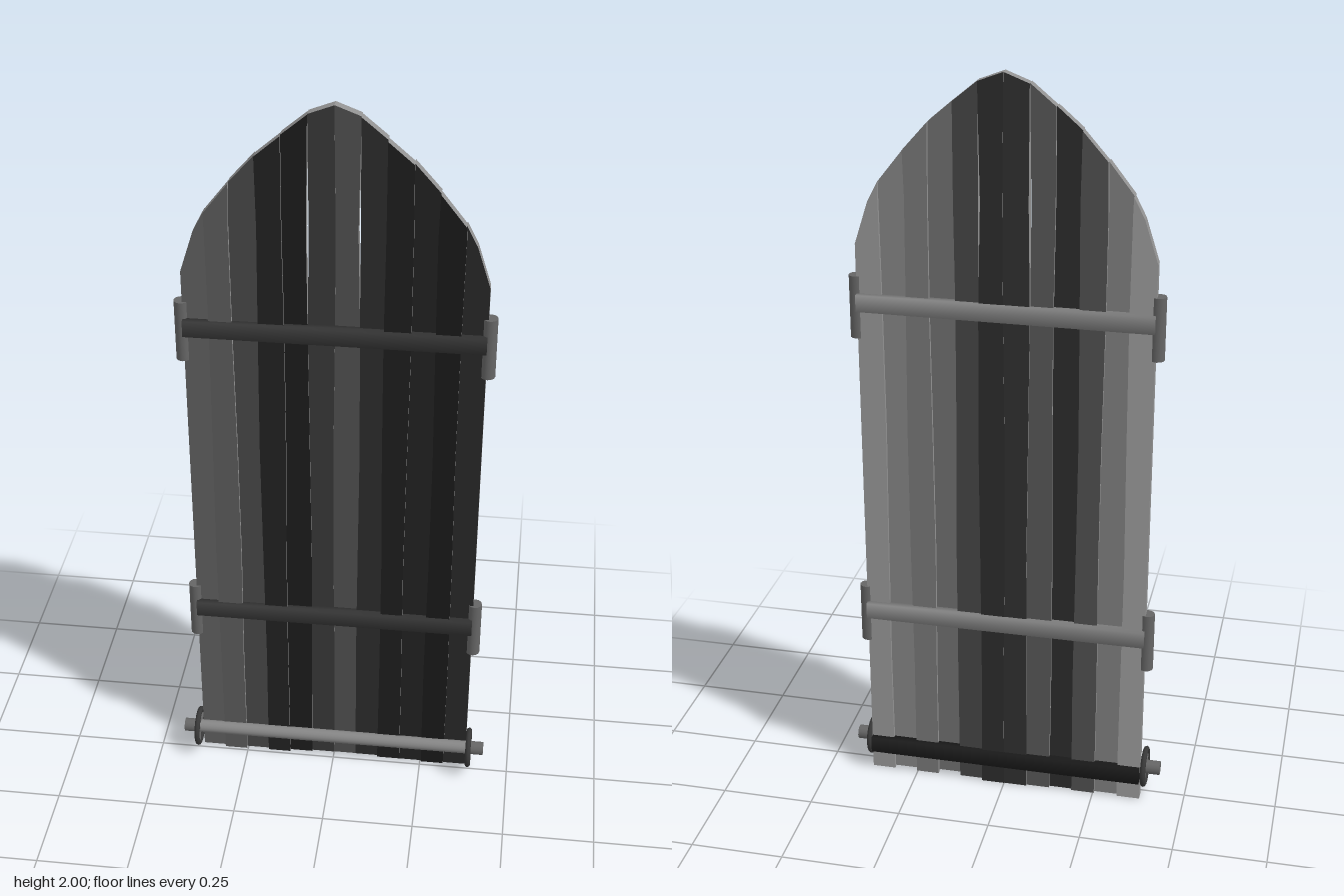
import * as THREE from 'three';
import { mergeVertices } from 'three/addons/utils/BufferGeometryUtils.js';

const shade = (v) => new THREE.MeshStandardMaterial({ color: new THREE.Color().setRGB(v / 255, v / 255, v / 255, THREE.SRGBColorSpace) });
const ironBlack = shade(0x1c), ironDark = shade(0x38), ironMid = shade(0x66), ironLight = shade(0x86), woodEdge = shade(0x92);

function add(parent, name, geometry, material, x = 0, y = 0, z = 0) {
  const mesh = new THREE.Mesh(geometry, material);
  mesh.name = name;
  mesh.position.set(x, y, z);
  parent.add(mesh);
  return mesh;
}

// bar with welded corners, so that shading runs softly over its edges
function bar(width, height, depth) {
  const box = new THREE.BoxGeometry(width, height, depth);
  box.deleteAttribute('uv');
  box.deleteAttribute('normal');
  const welded = mergeVertices(box, 1e-5);
  welded.clearGroups();
  welded.computeVertexNormals();
  return welded;
}

const PLANKS = 12, HALF = 0.38, WIDTH = (2 * HALF) / PLANKS, THICK = 0.025;
// right half of the pointed arch, from tip to shoulder
const ARCH = [[0, 2], [0.065, 1.975], [0.13, 1.92], [0.19, 1.868], [0.25, 1.8], [0.31, 1.728], [0.345, 1.66], [0.38, 1.55]];
// per plank: front-to-back centre, and grey tones of its weathered front and back
const DEPTH = [-0.03, -0.021, -0.03, -0.023, -0.031, -0.036, -0.037, -0.032, -0.021, -0.03, -0.021, -0.03];
const FRONT = [0x60, 0x5c, 0x48, 0x22, 0x1c, 0x38, 0x50, 0x2c, 0x1e, 0x22, 0x1a, 0x28];
const BACK = [0x9c, 0x80, 0x50, 0x2c, 0x58, 0x30, 0x2c, 0x46, 0x70, 0x78, 0x86, 0x98];
const LEVELS = [0, 0.35, 0.7, 1.05, 1.4, 1.68];

function archHeight(x) {
  const a = Math.abs(x);
  for (let i = 1; i < ARCH.length; i++) {
    const [x0, y0] = ARCH[i - 1], [x1, y1] = ARCH[i];
    if (a <= x1 + 1e-6) return y0 + ((y1 - y0) * (a - x0)) / (x1 - x0);
  }
  return 1.55;
}

// gently uneven seam between neighbouring planks; outer edges stay straight
function seamX(i, y) {
  const x = -HALF + i * WIDTH;
  if (i === 0 || i === PLANKS) return x;
  return x + 0.003 * Math.sin(i * 2.3 + y * 4) * Math.min(1, y * 2);
}

function plank(i) {
  const x0 = -HALF + i * WIDTH, x1 = x0 + WIDTH;
  const foot = i >= 7 && i < 11 ? 0.004 * (i % 3) : 0;
  const left = [], right = [];
  for (const y of LEVELS) {
    // narrow openings beside the two middle planks
    const gap = y > 1.6 ? 0.003 : 0;
    if (y < archHeight(x0) - 0.02) left.push([seamX(i, y) + (i === 5 || i === 7 ? gap : 0), Math.max(y, foot)]);
    if (y < archHeight(x1) - 0.02) right.push([seamX(i + 1, y) - (i === 4 || i === 6 ? gap : 0), Math.max(y, foot)]);
  }
  const top = [[x0, archHeight(x0)]];
  for (const [ax, ay] of ARCH) {
    const x = x0 < 0 ? -ax : ax;
    if (x > x0 + 0.008 && x < x1 - 0.008) top.push([x, ay]);
  }
  top.sort((a, b) => a[0] - b[0]);
  top.push([x1, archHeight(x1)]);
  const outline = [...left, ...top, ...right.reverse()].map(([x, y]) => new THREE.Vector2(x, y));
  const geometry = new THREE.ExtrudeGeometry(new THREE.Shape(outline), { depth: THICK, bevelEnabled: false });
  // separate groups for back face, front face and edges
  const [lids, edges] = geometry.groups;
  geometry.clearGroups();
  geometry.addGroup(0, lids.count / 2, 0);
  geometry.addGroup(lids.count / 2, lids.count / 2, 1);
  geometry.addGroup(edges.start, edges.count, 2);
  return geometry;
}

export function createModel() {
  const model = new THREE.Group();
  model.name = 'archedDoor';

  // vertical planks
  for (let i = 0; i < PLANKS; i++) {
    add(model, 'plank', plank(i), [shade(BACK[i]), shade(FRONT[i]), woodEdge], 0, 0, DEPTH[i] - THICK / 2);
  }

  // cross straps let into both faces, with upright clamps on the edges
  for (const y of [0.512, 1.398]) {
    add(model, 'frontStrap', bar(0.758, 0.044, 0.027), ironDark, 0, y, -0.0115);
    add(model, 'backStrap', bar(0.758, 0.044, 0.03), ironLight, 0, y, -0.045);
    for (const side of [-1, 1]) {
      add(model, 'edgeClamp', new THREE.CylinderGeometry(0.019, 0.019, 0.166, 12), ironMid, side * 0.384, y - 0.016, -0.028);
    }
  }
  // dark strap behind the axle
  add(model, 'footStrap', bar(0.758, 0.044, 0.03), ironBlack, 0, 0.08, -0.045);

  // axle across the foot of the door
  const axle = new THREE.Group();
  axle.name = 'axleAssembly';
  axle.position.set(0, 0.08, -0.001);
  model.add(axle);
  add(axle, 'axle', new THREE.CylinderGeometry(0.018, 0.018, 0.78, 16).rotateZ(Math.PI / 2), ironLight);

  // spoked wheels with protruding axle ends
  for (const side of [-1, 1]) {
    const wheel = new THREE.Group();
    wheel.name = side > 0 ? 'leftWheel' : 'rightWheel';
    wheel.position.x = side * 0.388;
    axle.add(wheel);
    add(wheel, 'rim', new THREE.TorusGeometry(0.049, 0.0075, 8, 20).rotateY(Math.PI / 2), ironDark);
    add(wheel, 'axleEnd', new THREE.CylinderGeometry(0.019, 0.019, 0.044, 12).rotateZ(Math.PI / 2), ironMid, side * 0.02);
    for (let k = 0; k < 5; k++) {
      const spoke = add(wheel, 'spoke', new THREE.BoxGeometry(0.008, 0.048, 0.008).translate(0, 0.026, 0), ironMid);
      spoke.rotation.x = (k * 2 * Math.PI) / 5;
    }
  }
  return model;
}
